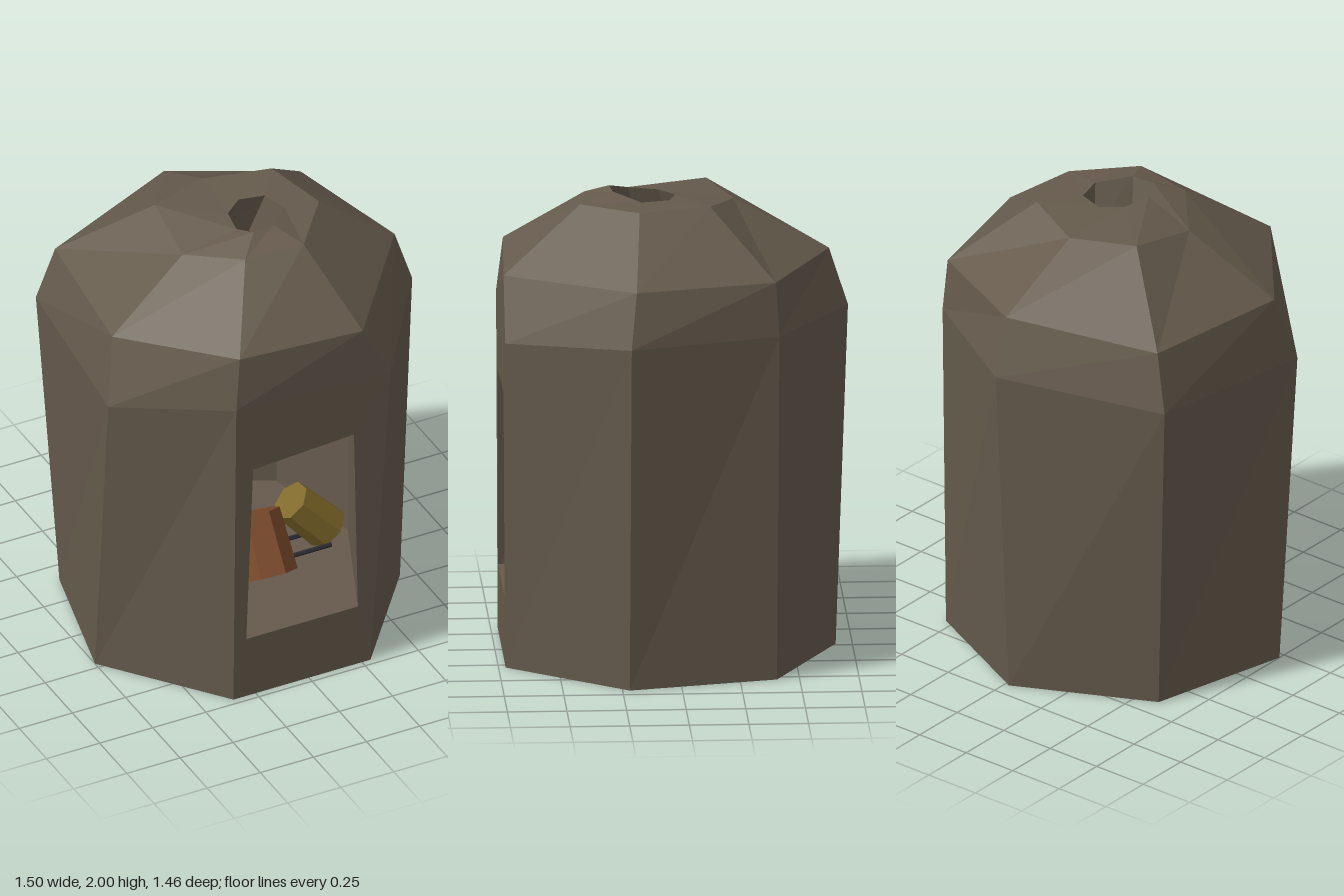
import * as THREE from 'three';

const mat = (color) => new THREE.MeshStandardMaterial({ color, flatShading: true });
const stone = mat(0x655a4c), wood = mat(0x7a4a2a), paleWood = mat(0x80692a), iron = mat(0x2c2c32);

// Flat-shaded mesh from triangles given as corner points
function facets(name, tris, material) {
  const g = new THREE.BufferGeometry();
  g.setAttribute('position', new THREE.Float32BufferAttribute(tris.flat(2), 3));
  g.computeVertexNormals();
  const m = new THREE.Mesh(g, material);
  m.name = name;
  return m;
}
const quad = (a, b, c, d) => [[a, b, c], [a, c, d]];

// Band between two seven-sided rings, optionally leaving one side open
function band(lo, up, skip = -1) {
  const out = [];
  lo.forEach((p, i) => {
    const j = (i + 1) % lo.length;
    if (i !== skip) out.push(...quad(lo[j], p, up[i], up[j]));
  });
  return out;
}
function cap(ring, faceUp) {
  const out = [];
  for (let i = 1; i < ring.length - 1; i++) {
    out.push(faceUp ? [ring[0], ring[i + 1], ring[i]] : [ring[0], ring[i], ring[i + 1]]);
  }
  return out;
}

// Log leaning from its foot to its top
function log(name, foot, top, radius, material, spin) {
  const a = new THREE.Vector3(...foot), b = new THREE.Vector3(...top);
  const dir = b.clone().sub(a);
  const g = new THREE.CylinderGeometry(radius * 0.9, radius, dir.length(), 7).rotateY(spin);
  const m = new THREE.Mesh(g, material);
  m.name = name;
  m.quaternion.setFromUnitVectors(new THREE.Vector3(0, 1, 0), dir.normalize());
  m.position.copy(a).add(b).multiplyScalar(0.5);
  return m;
}

export function createModel() {
  const group = new THREE.Group();
  group.name = 'stoneOven';

  // Rings run: back, right back, right, right front, left front, left, left back (as seen from the front)
  const base = [[-0.02, 0, -0.68], [0.54, 0, -0.405], [0.685, 0, 0.22], [0.29, 0, 0.72],
    [-0.355, 0, 0.72], [-0.75, 0, 0.22], [-0.6, 0, -0.4]];
  const wallTop = [[0.01, 1.48, -0.73], [0.55, 1.49, -0.415], [0.745, 1.49, 0.215], [0.38, 1.43, 0.727],
    [-0.345, 1.47, 0.727], [-0.75, 1.38, 0.34], [-0.68, 1.425, -0.46]];
  const shoulder = [[0.02, 1.73, -0.65], [0.535, 1.72, -0.4], [0.675, 1.72, 0.19], [0.25, 1.69, 0.727],
    [-0.315, 1.705, 0.7], [-0.69, 1.67, 0.26], [-0.61, 1.675, -0.42]];
  const crown = [[0, 1.945, -0.25], [0.265, 1.98, -0.14], [0.335, 1.975, 0.16], [0.14, 1.965, 0.4],
    [-0.12, 1.95, 0.37], [-0.31, 1.91, 0.165], [-0.28, 1.96, -0.15]];
  const rim = [[0.04, 1.975, -0.005], [0.15, 1.98, 0.025], [0.18, 1.98, 0.145], [0.07, 2, 0.26],
    [-0.03, 2, 0.27], [-0.07, 1.98, 0.19], [-0.045, 1.975, 0.065]];
  const flue = rim.map(([x, , z]) => [x - 0.045, 1.78, z - 0.06]);
  const room = [[0, 0.29, -0.45], [0.35, 0.29, -0.26], [0.45, 0.29, 0.2], [0.23, 0.29, 0.721],
    [-0.295, 0.29, 0.721], [-0.42, 0.29, 0.22], [-0.4, 0.29, -0.28]];
  const roomTop = room.map(([x, , z]) => [x, 1.16, z]);
  roomTop[3] = [0.21, 1.175, 0.725];
  roomTop[4] = [-0.265, 1.145, 0.725];
  const front = 3;

  // Shell with a firing door in the front side
  const frame = [];
  const outer = [base[4], base[3], wallTop[3], wallTop[4]];
  const door = [room[4], room[3], roomTop[3], roomTop[4]];
  for (let i = 0; i < 4; i++) {
    const j = (i + 1) % 4;
    frame.push(...quad(outer[i], outer[j], door[j], door[i]));
  }
  group.add(facets('ovenWalls', [...band(base, wallTop, front), ...frame, ...cap(base, false)], stone));
  group.add(facets('ovenDome', [...band(wallTop, shoulder), ...band(shoulder, crown), ...band(crown, rim)], stone));
  group.add(facets('smokeHole', band(rim, flue), stone));
  group.add(facets('fireChamber',
    [...band(flue, roomTop), ...band(roomTop, room, front), ...cap(room, true)], stone));

  // Leaning firewood
  const fire = new THREE.Group();
  fire.name = 'firewood';
  fire.add(
    log('frontLog', [-0.035, 0.35, 0.42], [-0.035, 0.58, 0.28], 0.125, wood, 0.22),
    log('leftLog', [-0.36, 0.36, 0.33], [-0.25, 0.53, 0.28], 0.075, wood, 0),
    log('rightLog', [0.33, 0.37, 0.24], [0.17, 0.54, 0.22], 0.1, paleWood, 0.3),
    log('backLog', [-0.3, 0.37, 0.02], [-0.23, 0.55, 0.08], 0.09, paleWood, 0.1),
  );
  group.add(fire);

  // Iron grate under the logs
  const grate = new THREE.Group();
  grate.name = 'grate';
  for (const z of [0.1, 0.22, 0.34]) {
    const bar = new THREE.Mesh(new THREE.CylinderGeometry(0.01, 0.01, 0.66, 6), iron);
    bar.rotation.z = Math.PI / 2;
    bar.position.set(-0.03, 0.35, z);
    bar.name = 'grateBar';
    grate.add(bar);
  }
  const coals = new THREE.Mesh(new THREE.SphereGeometry(0.16, 7, 4), iron);
  coals.scale.set(1, 0.25, 0.8);
  coals.position.set(-0.03, 0.35, 0.22);
  coals.name = 'coals';
  grate.add(coals);
  group.add(grate);

  return group;
}
